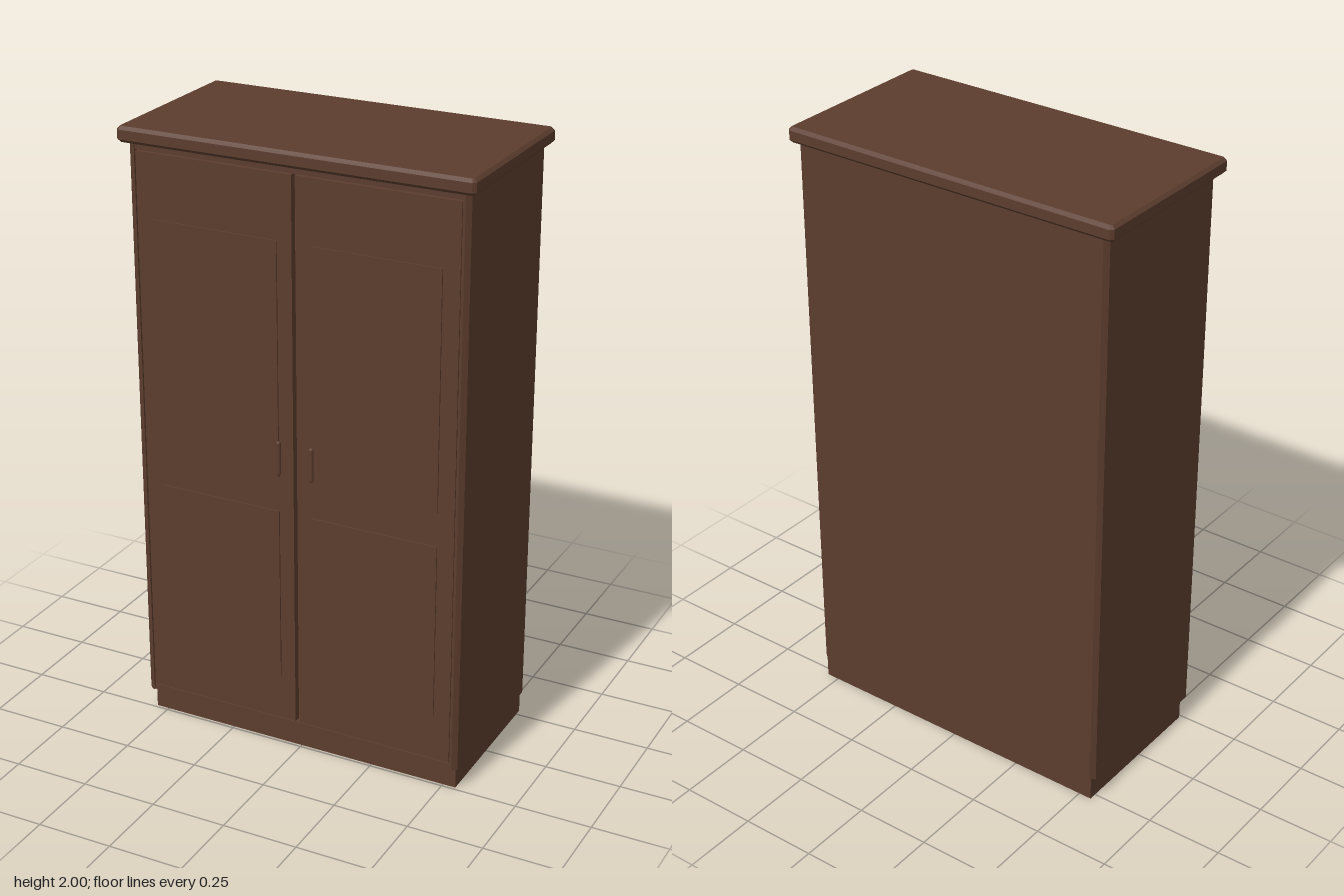
import * as THREE from 'three';

const wood = new THREE.MeshStandardMaterial({ color: 0x5c3d2e });
wood.name = 'dark walnut';

function add(parent, name, geometry, x = 0, y = 0, z = 0) {
  const mesh = new THREE.Mesh(geometry, wood);
  mesh.name = name;
  mesh.position.set(x, y, z);
  parent.add(mesh);
  return mesh;
}

// Box given by its limits on each axis
function board(parent, name, x0, x1, y0, y1, z0, z1) {
  return add(parent, name, new THREE.BoxGeometry(x1 - x0, y1 - y0, z1 - z0),
    (x0 + x1) / 2, (y0 + y1) / 2, (z0 + z1) / 2);
}

// Extrudes a floor plan of [x, z] points upwards, with an optional chamfer
function upright(points, height, bevel = 0) {
  const shape = new THREE.Shape(points.map(([x, z]) => new THREE.Vector2(x, -z)));
  const geometry = new THREE.ExtrudeGeometry(shape, {
    depth: height - 2 * bevel, bevelEnabled: bevel > 0, bevelSegments: 1,
    bevelSize: bevel, bevelThickness: bevel, bevelOffset: -bevel,
  });
  return geometry.rotateX(-Math.PI / 2).translate(0, bevel, 0);
}

export function createModel() {
  const wardrobe = new THREE.Group();
  wardrobe.name = 'wardrobe';

  // Recessed plinth
  board(wardrobe, 'plinth', -0.543, 0.543, 0, 0.085, -0.275, 0.24);

  // Sides and back in one piece, open at the front, with chamfered corners
  const w = 0.555, back = -0.28, front = 0.27, c = 0.014, inner = 0.533;
  add(wardrobe, 'carcass', upright([
    [-w, front - c], [-w, back + c], [-w + c, back], [w - c, back],
    [w, back + c], [w, front - c], [w - c, front], [inner, front],
    [inner, back + 0.02], [-inner, back + 0.02], [-inner, front], [-w + c, front],
  ], 1.872, 0), 0, 0.08, 0);

  // Floor, ceiling and interior fittings
  board(wardrobe, 'floorBoard', -inner, inner, 0.08, 0.1, back + 0.02, 0.266);
  board(wardrobe, 'ceilingBoard', -inner, inner, 1.928, 1.952, back + 0.02, 0.266);
  board(wardrobe, 'shelf', -inner, inner, 1.61, 1.63, back + 0.02, 0.22);
  const rod = new THREE.CylinderGeometry(0.012, 0.012, 2 * inner, 16).rotateZ(Math.PI / 2);
  add(wardrobe, 'hangingRod', rod, 0, 1.53, 0);

  // Pair of doors with raised panels and slim handles
  for (const side of [-1, 1]) {
    const door = new THREE.Group();
    door.name = side > 0 ? 'leftDoor' : 'rightDoor';
    const part = (name, a, b, y0, y1, z0, z1) =>
      board(door, name, Math.min(side * a, side * b), Math.max(side * a, side * b), y0, y1, z0, z1);
    part('doorLeaf', 0.007, 0.53, 0.104, 1.924, 0.245, 0.268);
    part('upperPanel', 0.056, 0.476, 0.956, 1.719, 0.26, 0.273);
    part('lowerPanel', 0.056, 0.476, 0.26, 0.842, 0.26, 0.273);
    const handle = add(door, 'handle', new THREE.CapsuleGeometry(0.008, 0.1, 4, 12),
      side * 0.056, 1.022, 0.273);
    handle.scale.z = 0.95;
    wardrobe.add(door);
  }

  // Overhanging top with chamfered edges and corners
  const tx = 0.58, tz = 0.295, k = 0.01;
  add(wardrobe, 'top', upright([
    [-tx + k, tz], [tx - k, tz], [tx, tz - k], [tx, -tz + k],
    [tx - k, -tz], [-tx + k, -tz], [-tx, -tz + k], [-tx, tz - k],
  ], 0.05, 0.01), 0, 1.95, 0);

  return wardrobe;
}
